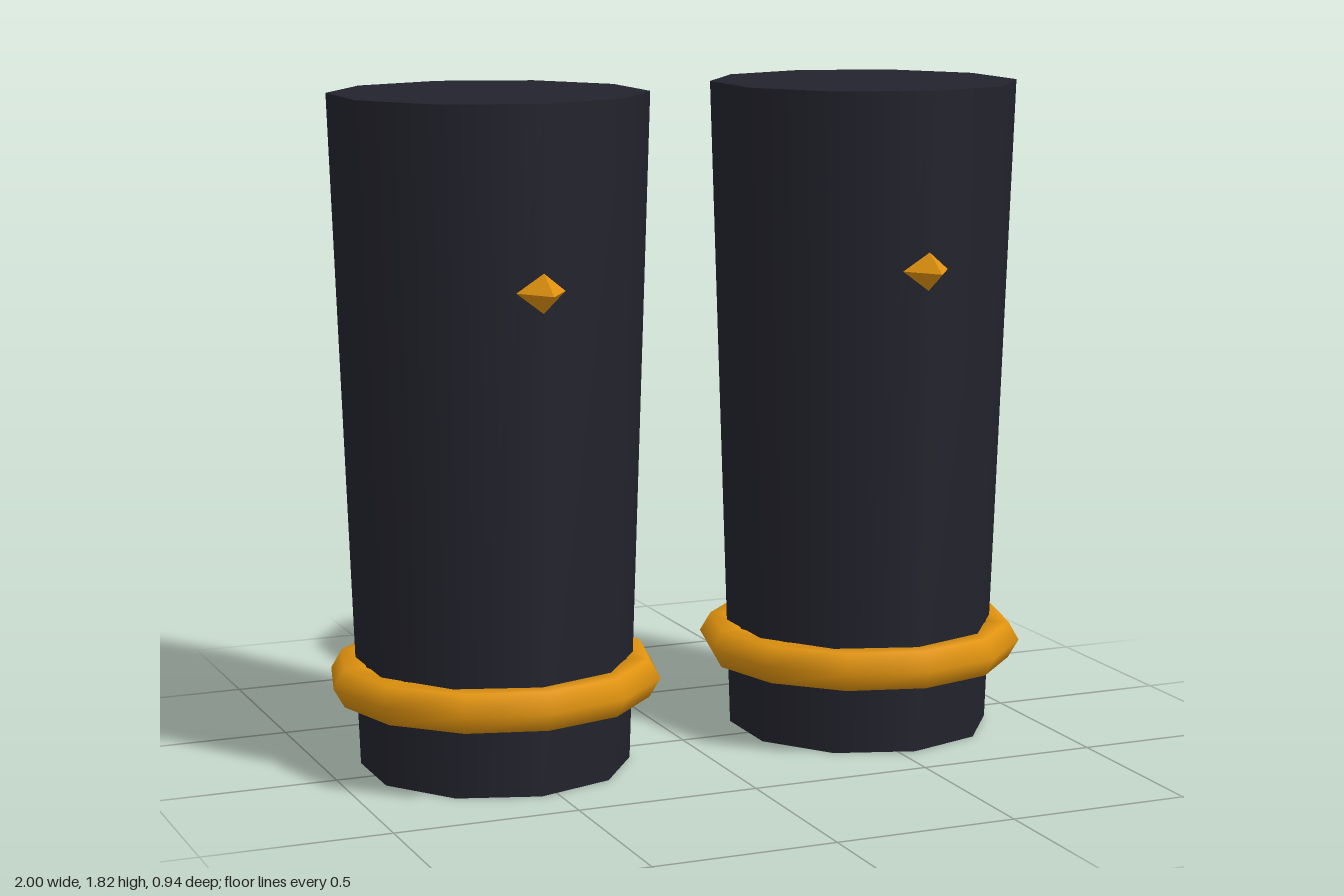
import * as THREE from 'three';

const dark = new THREE.MeshStandardMaterial({ name: 'charcoal', color: 0x23232d });
const gold = new THREE.MeshStandardMaterial({ name: 'amber', color: 0xe0930f });

const HEIGHT = 1.815;

function createLeg(name, x) {
  const leg = new THREE.Group();
  leg.name = name;
  leg.position.set(x, 0, -0.015);

  const add = (partName, geometry, material, y, z = 0) => {
    const mesh = new THREE.Mesh(geometry, material);
    mesh.name = partName;
    mesh.position.set(0, y, z);
    leg.add(mesh);
  };

  // Tapered ten-sided shaft
  add('shaft', new THREE.CylinderGeometry(0.425, 0.365, HEIGHT, 10), dark, HEIGHT / 2);

  // Ankle ring
  add('ankleRing', new THREE.TorusGeometry(0.393, 0.06, 6, 12).rotateX(Math.PI / 2), gold, 0.245);

  // Four-sided stud pointing forward, its base sunk into the shaft
  const stud = new THREE.ConeGeometry(0.082, 0.12, 4).rotateX(Math.PI / 2).toNonIndexed();
  stud.computeVertexNormals();
  add('stud', stud, gold, 1.335, 0.425);

  return leg;
}

export function createModel() {
  const model = new THREE.Group();
  model.name = 'legPair';
  model.add(createLeg('leftLeg', 0.546), createLeg('rightLeg', -0.546));
  return model;
}
